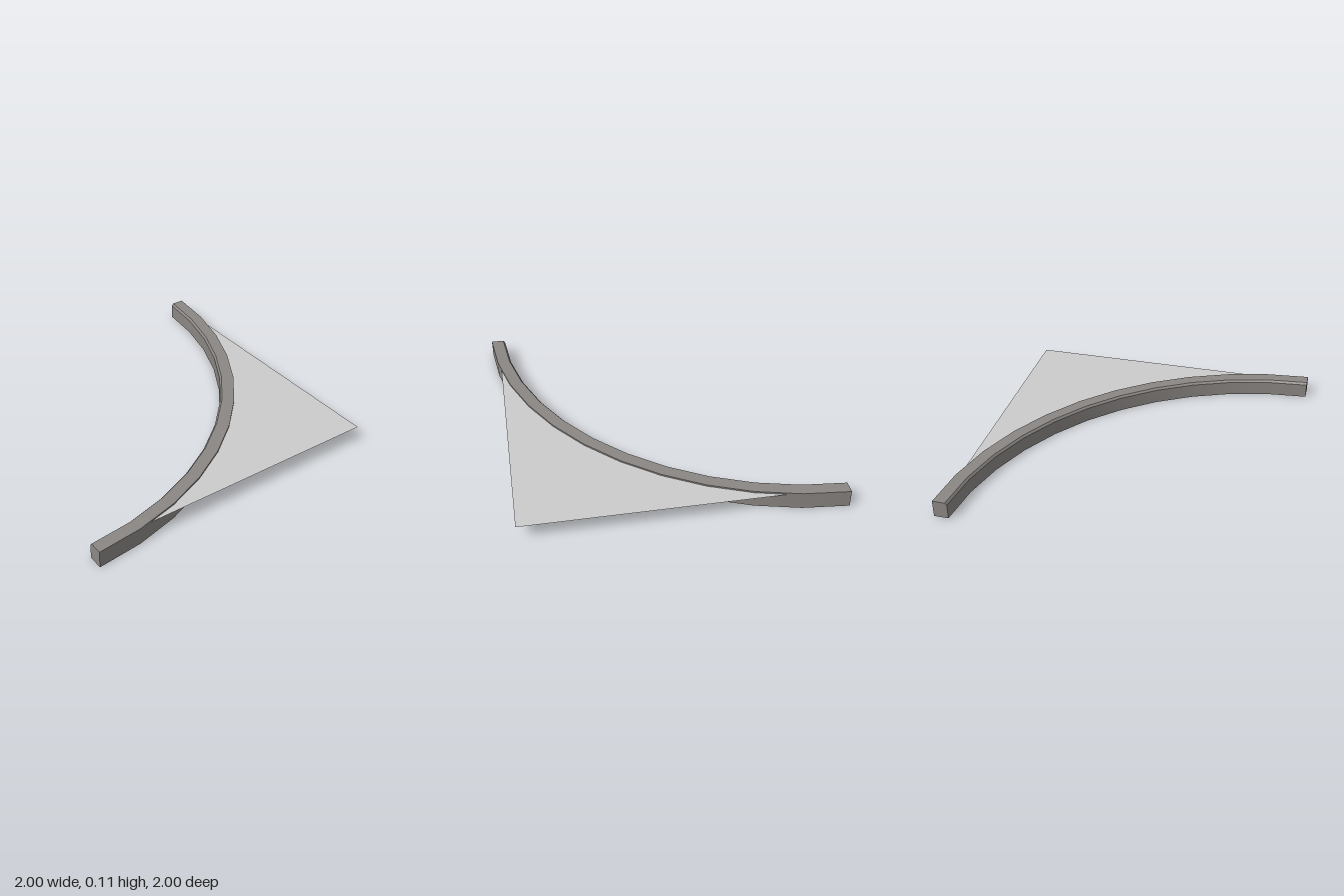
import * as THREE from 'three';

const SEGMENTS = 11;
const HEIGHT = 0.11;

// Point on the slightly flattened quarter arc around the corner (-1, -1)
function arcPoint(radius, y, i) {
  const a = (i / SEGMENTS) * Math.PI / 2;
  const r = radius - 0.034 * Math.sin(2 * a);
  return [-1 + r * Math.sin(a), y, -1 + r * Math.cos(a)];
}

function makeGeometry(positions, indices) {
  const g = new THREE.BufferGeometry();
  g.setAttribute('position', new THREE.Float32BufferAttribute(positions, 3));
  g.setIndex(indices);
  g.computeVertexNormals();
  return g;
}

// One long face of the kerb, smooth along the arc
function sweepEdge([r0, y0], [r1, y1]) {
  const positions = [], indices = [];
  for (let i = 0; i <= SEGMENTS; i++) {
    positions.push(...arcPoint(r0, y0, i), ...arcPoint(r1, y1, i));
    if (i < SEGMENTS) {
      const k = i * 2;
      indices.push(k, k + 2, k + 1, k + 1, k + 2, k + 3);
    }
  }
  return makeGeometry(positions, indices);
}

// Flat end of the kerb
function endCap(profile, i, reversed) {
  const positions = profile.flatMap(([r, y]) => arcPoint(r, y, i));
  const indices = [];
  for (let k = 1; k < profile.length - 1; k++) {
    indices.push(0, ...(reversed ? [k + 1, k] : [k, k + 1]));
  }
  return makeGeometry(positions, indices);
}

export function createModel() {
  const model = new THREE.Group();
  model.name = 'curvedKerb';
  const stone = new THREE.MeshStandardMaterial({ color: 0x8b8784 });
  stone.name = 'kerb stone grey';
  const paving = new THREE.MeshStandardMaterial({ color: 0xcccccc, side: THREE.DoubleSide });
  paving.name = 'paving light grey';

  const add = (parent, name, geometry, material) => {
    const mesh = new THREE.Mesh(geometry, material);
    mesh.name = name;
    parent.add(mesh);
  };

  // Kerb: cross-section as radius and height, with a small bevel on the inner top edge
  const profile = [[1.908, 0], [2, 0], [2, HEIGHT], [1.92, HEIGHT], [1.908, HEIGHT - 0.015]];
  const faces = ['kerbBottom', 'kerbOuterWall', 'kerbTop', 'kerbBevel', 'kerbInnerWall'];
  const kerb = new THREE.Group();
  kerb.name = 'kerb';
  faces.forEach((name, k) => {
    add(kerb, name, sweepEdge(profile[k], profile[(k + 1) % profile.length]), stone);
  });
  add(kerb, 'kerbStartCap', endCap(profile, 0, false), stone);
  add(kerb, 'kerbFinishCap', endCap(profile, SEGMENTS, true), stone);
  model.add(kerb);

  // Paving: thin corner sheet running from the middle of the kerb to the outer corner
  const outline = [new THREE.Vector2(0.95, -0.95)];
  for (let i = 0; i <= SEGMENTS; i++) {
    const [x, , z] = arcPoint(1.95, 0, i);
    outline.push(new THREE.Vector2(x, -z));
  }
  const sheet = new THREE.ShapeGeometry(new THREE.Shape(outline));
  sheet.rotateX(-Math.PI / 2);
  sheet.translate(0, 0.1, 0);
  add(model, 'pavingCorner', sheet, paving);

  return model;
}
